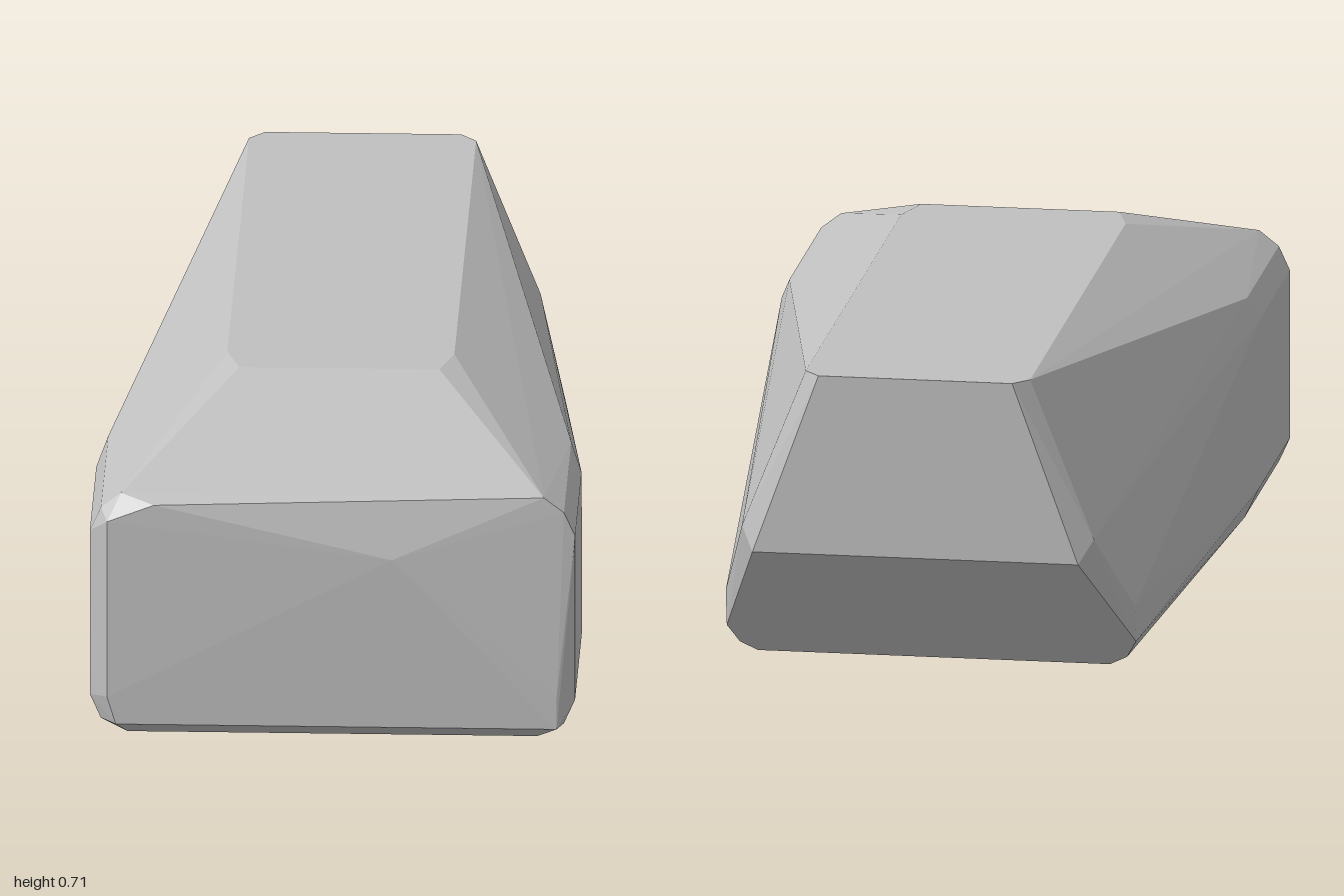
import * as THREE from 'three';
import { ConvexGeometry } from 'three/addons/geometries/ConvexGeometry.js';

export function createModel() {
  const stone = new THREE.MeshStandardMaterial({ color: 0xc0c0c0 });

  // Corners of the faceted block, each mirrored across x = 0
  const mirrored = [
    // front rim, just behind the front face
    [0.46, 0, 0.95], [0.52, 0.035, 0.96], [0.545, 0.09, 0.955],
    [0.545, 0.48, 0.95], [0.52, 0.535, 0.95], [0.475, 0.57, 0.95],
    // shoulder, where the sides start to taper
    [0.46, 0, 0.4], [0.52, 0.035, 0.45], [0.545, 0.09, 0.5],
    [0.545, 0.48, 0.54], [0.52, 0.535, 0.49],
    // flat top
    [0.225, 0.715, 0.52], [0.255, 0.715, 0.42], [0.255, 0.715, -0.96],
    // back face and its chamfers
    [0.22, 0.715, -1], [0.37, 0.3, -1], [0.4, 0.35, -0.96],
    // lower back corners
    [0.465, 0.15, -0.78], [0.465, 0.065, -0.765],
    [0.44, 0.02, -0.735], [0.4, 0, -0.73],
  ];

  // Uneven front face: bevelled differently on each side
  const front = [
    [-0.485, 0.035, 1], [-0.505, 0.1, 1], [-0.505, 0.515, 0.99],
    [-0.4, 0.555, 0.988], [0.135, 0.435, 1], [0.505, 0.035, 1], [0.505, 0.11, 0.995],
  ];

  const points = front.map((p) => new THREE.Vector3(...p));
  for (const [x, y, z] of mirrored) {
    points.push(new THREE.Vector3(x, y, z), new THREE.Vector3(-x, y, z));
  }

  const block = new THREE.Mesh(new ConvexGeometry(points), stone);
  block.name = 'facetedBlock';

  const group = new THREE.Group();
  group.name = 'stoneBlock';
  group.add(block);
  return group;
}
